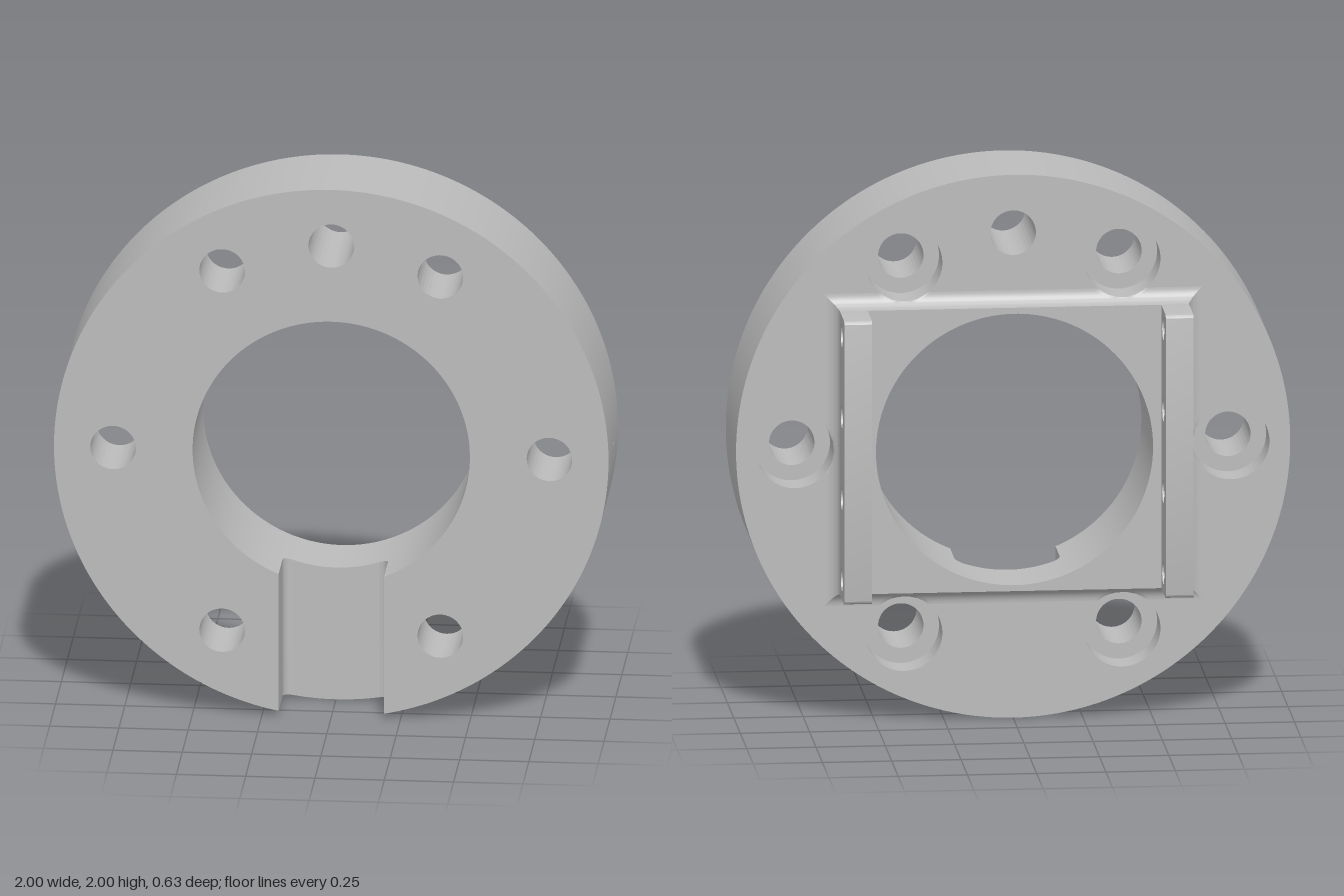
import * as THREE from 'three';
import { toCreasedNormals } from 'three/addons/utils/BufferGeometryUtils.js';

const FRONT = 0.313, FACE = -0.087, PAD = -0.14, RAIL_END = -0.313;
const SLOT_FLOOR = 0.113, SLOT_HALF = 0.19, BORE = 0.5;
const BOLT_R = 0.082, SINK_R = 0.138, SINK_FLOOR = 0.043, PITCH = 0.787;
const PAD_X = 0.63, PAD_Y = 0.522;

const boltAngles = [0, 60, 120, 180, 240, 300].map(THREE.MathUtils.degToRad);

function circle(x, y, r) {
  return new THREE.Path().absarc(x, y, r, 0, Math.PI * 2, true);
}

function slab(shape, z0, z1) {
  const g = new THREE.ExtrudeGeometry(shape, { depth: z1 - z0, bevelEnabled: false, curveSegments: 112 });
  g.translate(0, 0, z0);
  return toCreasedNormals(g, 0.5);
}

// Bolt circle plus the plain hole at the top
function addBoltHoles(shape, r) {
  for (const a of boltAngles) shape.holes.push(circle(PITCH * Math.cos(a), PITCH * Math.sin(a), r));
  shape.holes.push(circle(0, PITCH, BOLT_R));
  return shape;
}

function ringShape(holeR) {
  const s = new THREE.Shape().absarc(0, 0, 1, 0, Math.PI * 2, false);
  s.holes.push(circle(0, 0, BORE));
  return addBoltHoles(s, holeR);
}

// Ring opened at the bottom by a parallel-sided slot
function slottedShape() {
  const a = Math.asin(SLOT_HALF), b = Math.asin(SLOT_HALF / BORE), d = -Math.PI / 2;
  const s = new THREE.Shape();
  s.absarc(0, 0, 1, d + a, d + 2 * Math.PI - a, false);
  s.absarc(0, 0, BORE, d + 2 * Math.PI - b, d + b, true);
  s.closePath();
  return addBoltHoles(s, BOLT_R);
}

// Concave strip in a slot corner, its ends following the bore and the rim
function slotFillet(side) {
  const r = 0.035, w = SLOT_HALF, pts = [new THREE.Vector2(side * w, SLOT_FLOOR)];
  for (let i = 0; i <= 8; i++) {
    const t = (i / 8) * Math.PI / 2;
    pts.push(new THREE.Vector2(side * (w - r * (1 - Math.cos(t))), SLOT_FLOOR + r * (1 - Math.sin(t))));
  }
  const g = new THREE.ExtrudeGeometry(new THREE.Shape(pts), { depth: 1, bevelEnabled: false });
  const p = g.attributes.position;
  for (let i = 0; i < p.count; i++) {
    const x = p.getX(i), R = p.getZ(i) < 0.5 ? BORE : 1;
    p.setXYZ(i, x, -Math.sqrt(R * R - x * x), p.getY(i));
  }
  return toCreasedNormals(g, 0.5);
}

// Cove along one pad edge, mitred at the ends and cut back around the counterbores
function padFillet(half, dist, sinkAlong, sinkDist, angle) {
  const r = PAD - FACE, size = Math.abs(r);
  const g = new THREE.PlaneGeometry(2, 1, 120, 10);
  const p = g.attributes.position;
  for (let i = 0; i < p.count; i++) {
    const s = p.getX(i), t = (0.5 - p.getY(i)) * Math.PI / 2;
    let along = s * half, o = size * (1 - Math.cos(t));
    for (const c of sinkAlong) {
      const dx = along - c;
      if (Math.abs(dx) < SINK_R) {
        o = Math.min(o, sinkDist - Math.sqrt(SINK_R * SINK_R - dx * dx) - dist);
      }
    }
    if (Math.abs(s) > 0.9999) along += Math.sign(s) * o;
    p.setXYZ(i, along, dist + o, FACE - size * (1 - Math.sin(t)));
  }
  g.rotateZ(angle);
  return toCreasedNormals(g, 0.6);
}

// Upright rail with rounded free corners and four cross holes
function railGeometry() {
  const a = -PAD, b = -RAIL_END, h = PAD_Y, c = 0.016;
  const s = new THREE.Shape();
  s.moveTo(a, -h);
  s.lineTo(b - c, -h);
  s.absarc(b - c, -h + c, c, -Math.PI / 2, 0, false);
  s.lineTo(b, h - c);
  s.absarc(b - c, h - c, c, 0, Math.PI / 2, false);
  s.lineTo(a, h);
  s.closePath();
  for (const y of [-0.45, -0.15, 0.15, 0.45]) s.holes.push(circle(0.212, y, 0.041));
  const g = new THREE.ExtrudeGeometry(s, { depth: 0.1, bevelEnabled: false, curveSegments: 24 });
  g.translate(0, 0, -0.05);
  g.rotateY(Math.PI / 2);
  return toCreasedNormals(g, 0.5);
}

export function createModel() {
  const model = new THREE.Group();
  model.name = 'mountingFlange';
  const body = new THREE.Group();
  body.name = 'flangeBody';
  body.position.y = 1;
  model.add(body);

  const metal = new THREE.MeshStandardMaterial({ color: 0xbcbcbc });
  metal.name = 'plain grey metal';
  const add = (name, geometry) => {
    const m = new THREE.Mesh(geometry, metal);
    m.name = name;
    body.add(m);
    return m;
  };

  // Ring in three layers: slotted front, solid middle, counterbored back
  add('slottedFrontRing', slab(slottedShape(), SLOT_FLOOR, FRONT));
  add('middleRing', slab(ringShape(BOLT_R), SINK_FLOOR, SLOT_FLOOR));
  add('counterboredBackRing', slab(ringShape(SINK_R), FACE, SINK_FLOOR));
  add('slotFilletLeft', slotFillet(1));
  add('slotFilletRight', slotFillet(-1));

  // Raised rectangular pad around the bore
  const pad = new THREE.Shape([
    new THREE.Vector2(-PAD_X, -PAD_Y), new THREE.Vector2(PAD_X, -PAD_Y),
    new THREE.Vector2(PAD_X, PAD_Y), new THREE.Vector2(-PAD_X, PAD_Y),
  ]);
  pad.holes.push(circle(0, 0, BORE));
  add('backPad', slab(pad, PAD, FACE));

  // Coves around the pad
  const sx = PITCH * 0.5, sy = PITCH * Math.sin(Math.PI / 3);
  add('padFilletTop', padFillet(PAD_X, PAD_Y, [-sx, sx], sy, 0));
  add('padFilletBottom', padFillet(PAD_X, PAD_Y, [-sx, sx], sy, Math.PI));
  add('padFilletLeft', padFillet(PAD_Y, PAD_X, [0], PITCH, -Math.PI / 2));
  add('padFilletRight', padFillet(PAD_Y, PAD_X, [0], PITCH, Math.PI / 2));

  // Pair of drilled rails
  const rail = railGeometry();
  add('railLeft', rail).position.x = PAD_X - 0.05;
  add('railRight', rail).position.x = -PAD_X + 0.05;

  return model;
}
